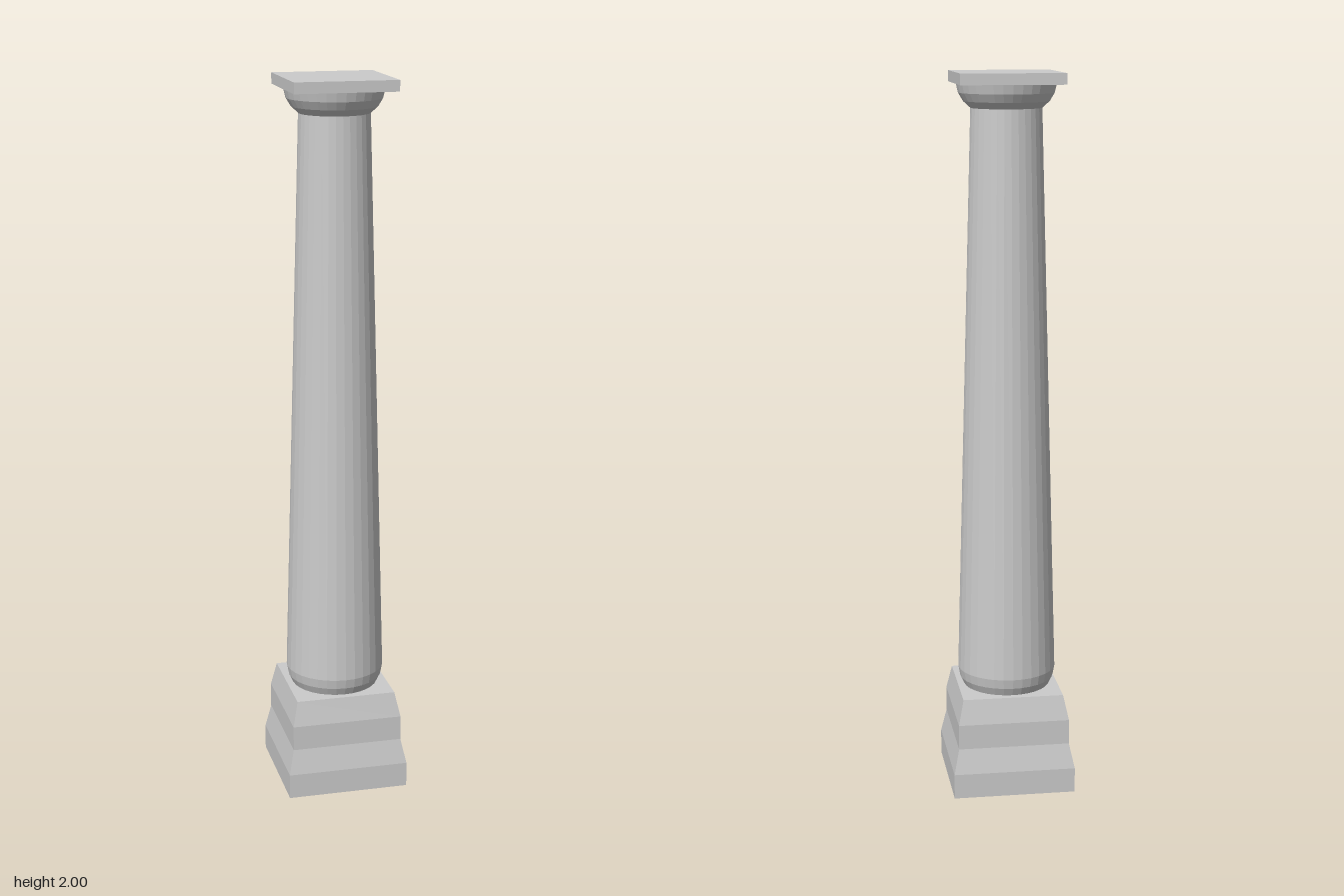
import * as THREE from 'three';

const material = new THREE.MeshStandardMaterial({ color: 0xcccccc, flatShading: true });

// Revolves a [radius, y] profile; four sides give a square part with faces on the axes
function turned(name, profile, sides) {
  const square = sides === 4;
  const k = square ? Math.SQRT2 : 1;
  const points = profile.map(([r, y]) => new THREE.Vector2(r * k, y));
  const geometry = new THREE.LatheGeometry(points, sides, square ? Math.PI / 4 : 0);
  const mesh = new THREE.Mesh(geometry, material);
  mesh.name = name;
  return mesh;
}

export function createModel() {
  const column = new THREE.Group();
  column.name = 'column';

  // Square stepped plinth
  column.add(turned('plinth', [
    [0, 0], [0.171, 0], [0.171, 0.07], [0.156, 0.14], [0.156, 0.21], [0.141, 0.28], [0, 0.28],
  ], 4));

  // Tapered round shaft with a rounded foot
  column.add(turned('shaft', [
    [0.122, 0.28], [0.133, 0.303], [0.138, 0.33], [0.097, 1.905],
  ], 32));

  // Flared round moulding under the slab
  column.add(turned('capital', [
    [0.097, 1.905], [0.117, 1.923], [0.13, 1.945], [0.136, 1.97],
  ], 32));

  // Square top slab
  const slab = new THREE.Mesh(new THREE.BoxGeometry(0.282, 0.03, 0.282), material);
  slab.name = 'topSlab';
  slab.position.y = 1.985;
  column.add(slab);

  return column;
}
